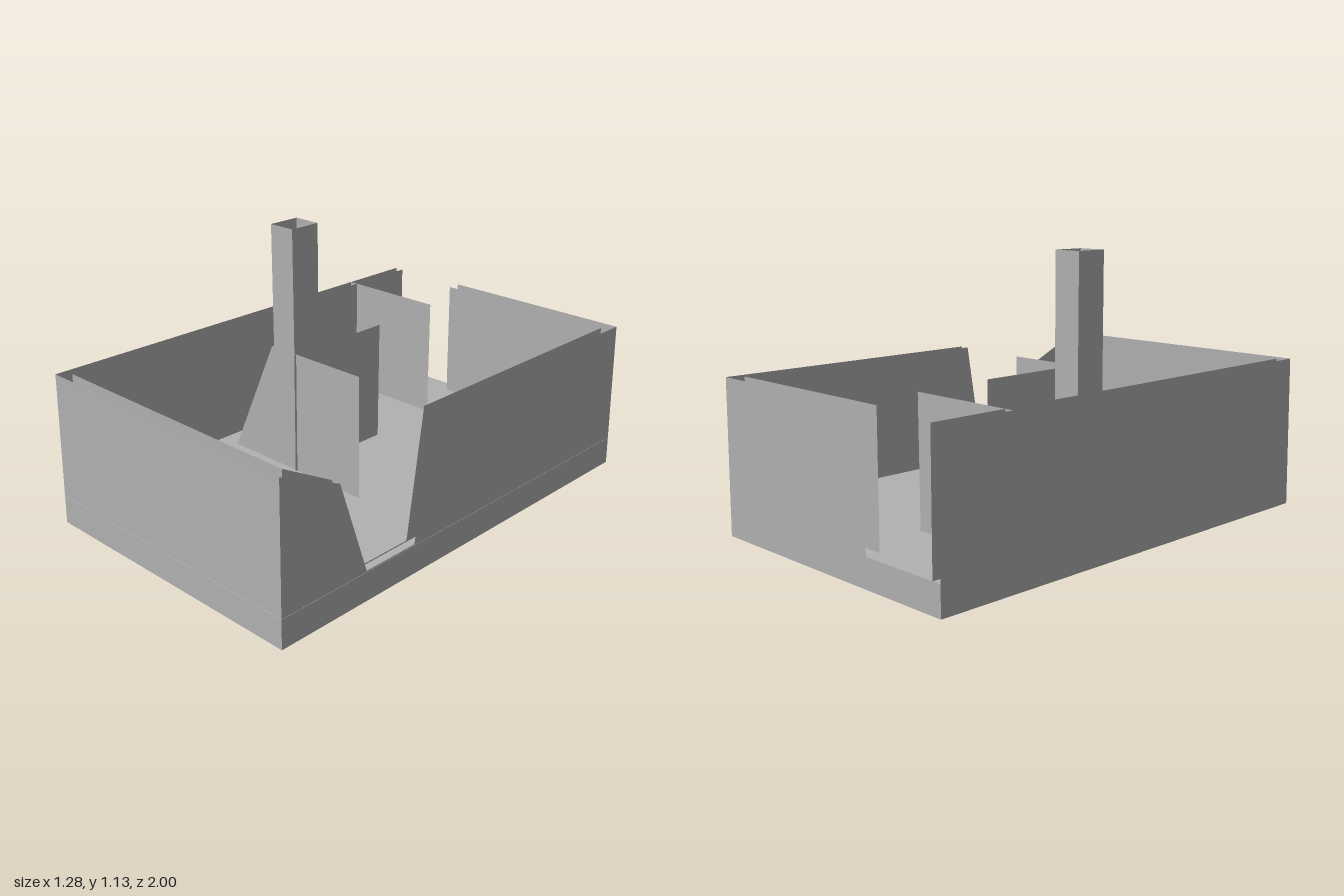
import * as THREE from 'three';

const H = 0.645;      // wall height
const FLOOR = 0.12;   // raised floor level

export function createModel() {
  const group = new THREE.Group();
  const plaster = new THREE.MeshStandardMaterial({ color: 0xb2b2b2, side: THREE.DoubleSide });
  plaster.name = 'greyPlaster';

  // Thin sheet: outline in (u, y), placed in space by a rule
  function sheet(name, outline, place) {
    const shape = new THREE.Shape(outline.map(([u, v]) => new THREE.Vector2(u, v)));
    const geo = new THREE.ShapeGeometry(shape);
    const p = geo.attributes.position;
    for (let i = 0; i < p.count; i++) p.setXYZ(i, ...place(p.getX(i), p.getY(i)));
    geo.computeVertexNormals();
    const mesh = new THREE.Mesh(geo, plaster);
    mesh.name = name;
    group.add(mesh);
  }
  const rect = (u0, u1, y0 = FLOOR, y1 = H) => [[u0, y0], [u1, y0], [u1, y1], [u0, y1]];
  // Planes across x or across z, optionally leaning with height
  const atX = (x, lean = 0) => (u, y) => [x - lean * y / H, y, u];
  const atZ = (z, lean = 0) => (u, y) => [u, y, z - lean * y / H];

  // Side wall outline with the broken opening near the front
  const brokenWall = (back, front, frontTop, y0) => [
    [back, y0], [front, y0], [frontTop, H], [0.71, 0.52],
    [0.58, 0.125], [0.32, 0.125], [0.23, H], [back, H],
  ];
  // Back wall outline, with a doorway at the corner
  const doorway = [[-0.64, 0], [0.64, 0], [0.634, H], [-0.245, H], [-0.245, FLOOR], [-0.64, FLOOR]];

  // Outer shell
  sheet('outerFrontWall', [[-0.64, 0], [0.64, 0], [0.633, H], [-0.64, H]], atZ(1, 0.013));
  sheet('outerBackWall', doorway, atZ(-1));
  sheet('outerRightWall', [[-1, 0], [1, 0], [0.987, H], [-1, H]], atX(-0.64));
  sheet('outerLeftWall', brokenWall(-1, 1, 0.987, 0), atX(0.64, 0.007));

  // Inner lining
  sheet('innerFrontWall', rect(-0.595, 0.595), atZ(0.948, 0.008));
  sheet('innerBackWall', rect(-0.245, 0.595), atZ(-0.94));
  sheet('innerRightWall', rect(-1, 0.942), atX(-0.6));
  sheet('innerLeftWall', brokenWall(-0.94, 0.948, 0.94, FLOOR), atX(0.6, 0.006));

  // Floor, with an open hollow below
  sheet('floor', [[-0.64, -1], [0.64, -1], [0.64, 1], [-0.64, 1]], (u, v) => [u, FLOOR, -v]);

  // Room partitions
  sheet('backPartition', rect(-0.64, -0.14), (u, y) => [u, y, -0.672 + 0.008 * (H - y)]);
  sheet('middlePartition', rect(-0.31, 0.2), atX(-0.128, -0.006));
  sheet('frontPartition', [[-0.51, FLOOR], [0.23, FLOOR], [0.23, H], [-0.265, H]], atZ(0.19));

  // Open square chimney
  const [x0, x1, z0, z1, top] = [-0.336, -0.212, -0.028, 0.115, 1.135];
  for (const [name, x] of [['chimneyRight', x0], ['chimneyLeft', x1]])
    sheet(name, rect(z0, z1, 0.115, top), atX(x));
  for (const [name, z] of [['chimneyBack', z0], ['chimneyFront', z1]])
    sheet(name, rect(x0, x1, 0.115, top), atZ(z));

  return group;
}
